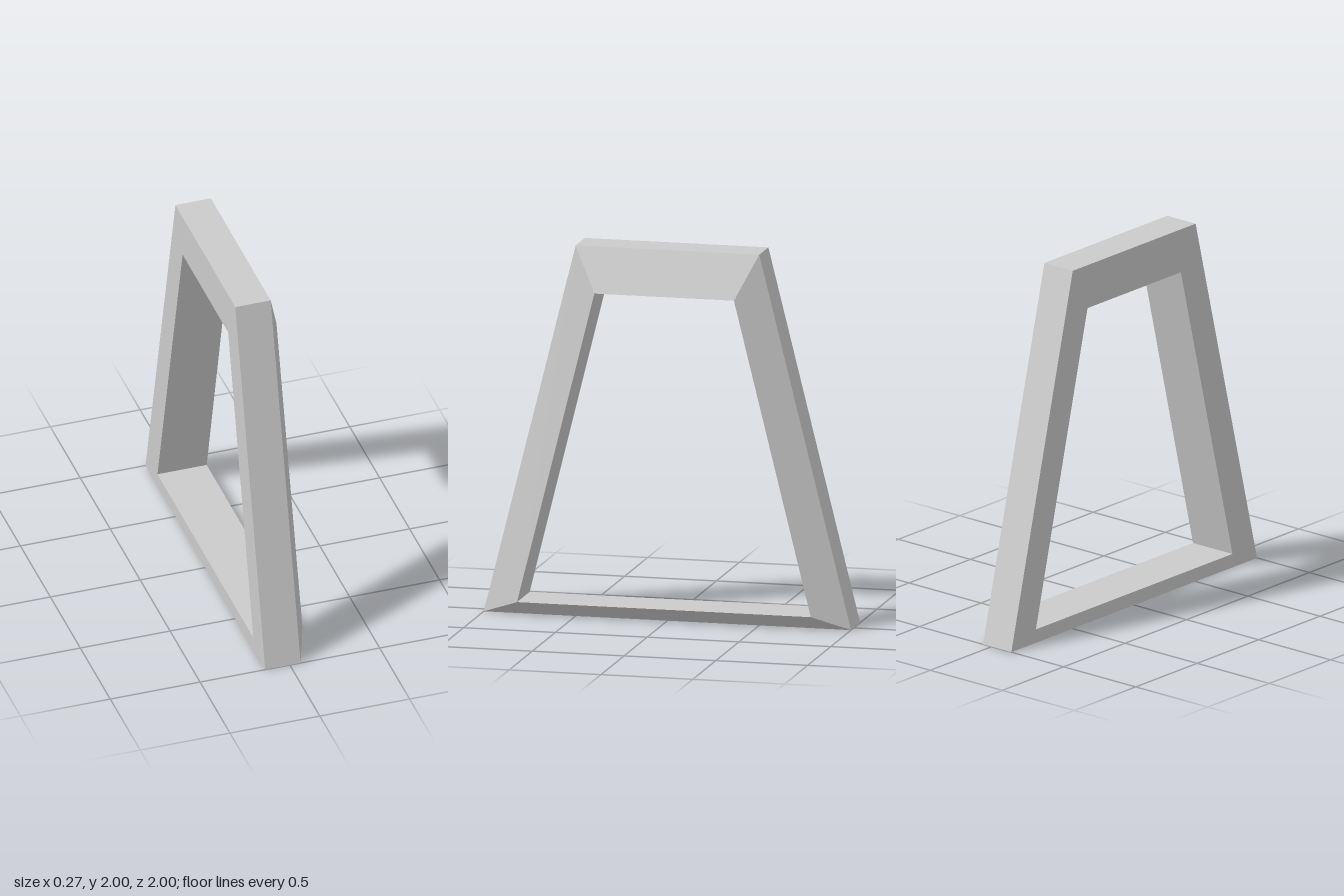
import * as THREE from 'three';

// Corner cross-section: outer back, outer bevel edge, inner bevel edge, inner back
function corner(side, outer, inner) {
  return [
    [-0.137, outer.y, side * outer.z],
    [0.06, outer.y, side * outer.z],
    [inner.x, inner.y, side * inner.z],
    [-0.137, inner.y, side * inner.z],
  ];
}

// One mitred bar between two corner cross-sections
function bar(name, a, b, material) {
  const points = [];
  for (let i = 0; i < 4; i++) {
    const j = (i + 1) % 4;
    points.push(...a[i], ...b[i], ...b[j], ...a[i], ...b[j], ...a[j]);
  }
  const geometry = new THREE.BufferGeometry();
  geometry.setAttribute('position', new THREE.Float32BufferAttribute(points, 3));
  geometry.computeVertexNormals();
  const mesh = new THREE.Mesh(geometry, material);
  mesh.name = name;
  return mesh;
}

export function createModel() {
  const group = new THREE.Group();
  group.name = 'trapezoidFrame';
  const material = new THREE.MeshStandardMaterial({ color: 0xcccccc, flatShading: true });

  // Mitred corners, mirrored front to back
  const bottom = [{ y: 0, z: 1 }, { x: 0.137, y: 0.075, z: 0.8 }];
  const top = [{ y: 2, z: 0.5 }, { x: 0.132, y: 1.76, z: 0.38 }];
  const corners = [
    corner(1, ...bottom), corner(-1, ...bottom),
    corner(-1, ...top), corner(1, ...top),
  ];

  // Four bars around the opening
  ['bottomRail', 'backPost', 'topRail', 'frontPost'].forEach((name, i) => {
    group.add(bar(name, corners[i], corners[(i + 1) % 4], material));
  });
  return group;
}
